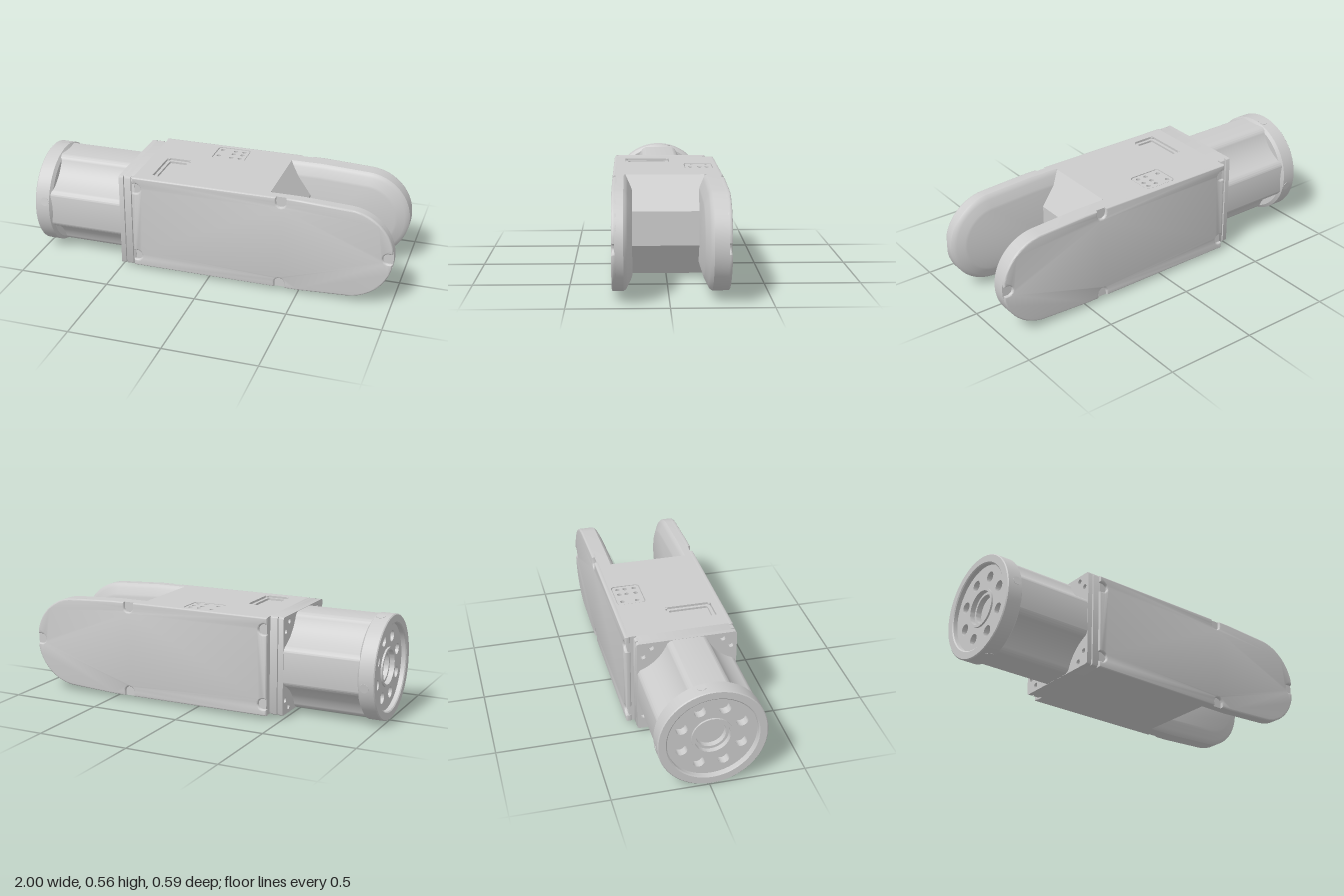
import * as THREE from 'three';
import { toCreasedNormals } from 'three/addons/utils/BufferGeometryUtils.js';

const CY = 0.282, H = 0.263, TOP = CY + H, BOTTOM = CY - H, CZ = 0.013;
const material = new THREE.MeshStandardMaterial({ color: 0xcccccc });

export function createModel() {
  const root = new THREE.Group();
  const add = (name, geo, x = 0, y = 0, z = 0) => {
    const m = new THREE.Mesh(toCreasedNormals(geo, 0.6), material);
    m.name = name;
    m.position.set(x, y, z);
    root.add(m);
    return m;
  };
  const extrude = (shape, depth, bevel = 0) => {
    const g = new THREE.ExtrudeGeometry(shape, {
      depth: depth - 2 * bevel, curveSegments: 20, bevelEnabled: bevel > 0,
      bevelSize: bevel, bevelThickness: bevel, bevelOffset: -bevel, bevelSegments: 3,
    });
    return g.translate(0, 0, bevel);
  };
  const alongX = (shape, depth, bevel) => extrude(shape, depth, bevel).rotateY(Math.PI / 2);
  const upward = (shape, depth) => extrude(shape, depth).rotateX(-Math.PI / 2);
  const circle = (x, y, r) => new THREE.Path().absarc(x, y, r, 0, Math.PI * 2, true);
  const roundRect = (x0, y0, x1, y1, r, Kind = THREE.Shape) => {
    const s = new Kind();
    s.absarc(x1 - r, y0 + r, r, -Math.PI / 2, 0);
    s.absarc(x1 - r, y1 - r, r, 0, Math.PI / 2);
    s.absarc(x0 + r, y1 - r, r, Math.PI / 2, Math.PI);
    s.absarc(x0 + r, y0 + r, r, Math.PI, Math.PI * 1.5);
    s.closePath();
    return s;
  };

  // Central body with a nose sloping into the fork
  add('body', new THREE.BoxGeometry(0.75, 0.505, 0.544), -0.045, BOTTOM + 0.2525, -0.008);
  const nose = new THREE.Shape([[0.3, BOTTOM], [0.33, BOTTOM], [0.45, 0.19], [0.45, 0.37], [0.33, TOP], [0.3, TOP]]
    .map(p => new THREE.Vector2(...p)));
  add('forkNose', extrude(nose, 0.41), 0, 0, -0.2);

  // Top plate with openings for the window and the connector pad
  const plate = new THREE.Shape([[-0.42, -0.264], [0.33, -0.264], [0.33, 0.28], [-0.42, 0.28]]
    .map(p => new THREE.Vector2(...p)));
  plate.holes.push(roundRect(-0.33, -0.22, -0.19, 0.03, 0.012, THREE.Path));
  plate.holes.push(roundRect(-0.105, 0.108, 0.082, 0.262, 0.02, THREE.Path));
  add('topPlate', upward(plate, 0.022), 0, TOP - 0.022, 0);
  const frame = roundRect(-0.327, -0.217, -0.193, 0.027, 0.01);
  frame.holes.push(roundRect(-0.31, -0.2, -0.21, 0.01, 0.01, THREE.Path));
  add('windowFrame', upward(frame, 0.012), 0, TOP - 0.022, 0);
  for (const x of [-0.325, -0.195]) for (const z of [-0.025, 0.215])
    add('windowScrew', new THREE.CylinderGeometry(0.009, 0.009, 0.02, 16), x, TOP - 0.011, z);
  const pad = roundRect(-0.101, 0.112, 0.078, 0.258, 0.018);
  for (const [x, z] of [[-0.075, 0.23], [-0.075, 0.15], [0, 0.23], [0, 0.19], [0, 0.14], [0.05, 0.23], [0.05, 0.19], [0.05, 0.14]])
    pad.holes.push(circle(x, z, 0.012));
  add('connectorPad', upward(pad, 0.02), 0, TOP - 0.022, 0);

  // Fork outline from x0 to the rounded tip, shrunk by d, counterclockwise
  const tipAngle = 1.5, tipR = 0.25;
  const outline = (x0, d) => {
    const pts = [[x0, -H + d], [0.5, -H + d]];
    for (let i = 0; i <= 40; i++) {
      const a = -tipAngle + (2 * tipAngle * i) / 40;
      pts.push([0.75 + (tipR - d) * Math.cos(a), (tipR - d) * Math.sin(a)]);
    }
    pts.push([0.5, H - d], [x0, H - d]);
    return pts.map(([x, y]) => [x, y + CY]);
  };
  // Stack of outlines at rising z with flat caps
  const loft = layers => {
    const pos = [], idx = [], n = outline(0, 0).length;
    for (const [z, d] of layers) for (const [x, y] of outline(0.3, d)) pos.push(x, y, z);
    for (let k = 0; k < layers.length - 1; k++) for (let i = 0; i < n; i++) {
      const a = k * n + i, b = k * n + (i + 1) % n;
      idx.push(a, b, b + n, a, b + n, a + n);
    }
    const last = (layers.length - 1) * n;
    for (let i = 1; i < n - 1; i++) idx.push(0, i + 1, i, last, last + i, last + i + 1);
    const g = new THREE.BufferGeometry();
    g.setAttribute('position', new THREE.Float32BufferAttribute(pos, 3));
    g.setIndex(idx);
    g.computeVertexNormals();
    return g;
  };
  const inner = [[0.18, 0.075], [0.184, 0.062], [0.202, 0.024], [0.209, 0.01], [0.222, 0], [0.264, 0]];
  add('frontForkArm', loft(inner));
  const rear = inner.map(([z, d]) => [CZ - z, d]).reverse();
  rear[0][0] = -0.28;
  add('rearForkArm', loft(rear));

  // Side covers with U-shaped screw notches around the edge
  const cover = new THREE.Shape();
  const pts = outline(-0.425, 0), mid = pts.length / 2;
  const line = (x, y) => cover.lineTo(x, y);
  const notch = (x, y, angle, depth = 0.026, r = 0.028) => {
    // angle is the direction pointing into the cover
    const c = Math.cos(angle), s = Math.sin(angle);
    line(x + s * r, y - c * r);
    for (let i = 0; i <= 12; i++) {
      const t = -Math.PI / 2 + (Math.PI * i) / 12;
      const u = depth + r * Math.cos(t), v = r * Math.sin(t);
      line(x + c * u - s * v, y + s * u + c * v);
    }
    line(x - s * r, y + c * r);
  };
  const notchCW = (x, y, angle, depth, r = 0.028) => {
    const c = Math.cos(angle), s = Math.sin(angle);
    for (let i = 0; i <= 12; i++) {
      const t = Math.PI / 2 - (Math.PI * i) / 12;
      const u = depth + r * Math.cos(t), v = r * Math.sin(t);
      if (i === 0) line(x - s * r, y + c * r);
      line(x + c * u - s * v, y + s * u + c * v);
    }
    line(x + s * r, y - c * r);
  };
  cover.moveTo(...pts[0]);
  notchCW(0.4, BOTTOM, Math.PI / 2, 0.026);
  for (let i = 1; i < pts.length - 1; i++) {
    if (Math.abs(i - mid + 0.5) < 2.6) {
      if (i === Math.floor(mid)) notchCW(0.995, CY, Math.PI, 0.022);
      continue;
    }
    line(...pts[i]);
  }
  notchCW(0.4, TOP, -Math.PI / 2, 0.026);
  line(...pts[pts.length - 1]);
  notchCW(-0.425, CY + 0.2, 0, 0.02);
  notchCW(-0.425, CY - 0.2, 0, 0.02);
  add('frontCover', extrude(cover, 0.03, 0.008), 0, 0, 0.25);
  add('rearCover', extrude(cover, 0.03, 0.008), 0, 0, -0.295);

  // Grooved mounting flange with paired corner holes
  const flange = (x, depth, grow, holes) => {
    const s = roundRect(-0.273 - grow, -H, 0.248 + grow, H, 0.012);
    if (holes) for (const a of [-1, 1]) for (const b of [-1, 1]) {
      s.holes.push(circle(a * 0.232 - CZ, b * 0.185, 0.014), circle(a * 0.188 - CZ, b * 0.232, 0.014));
    }
    add('mountingFlange', alongX(s, depth), x, CY, 0);
  };
  flange(-0.5, 0.026, 0.004, true);
  flange(-0.476, 0.06, -0.008, false);
  flange(-0.466, 0.034, 0.004, false);

  // Neck: square section with concave, softly joined corners
  const neck = new THREE.Shape();
  for (let k = 0; k < 4; k++) {
    const P = (x, y) => {
      const c = Math.round(Math.cos(k * Math.PI / 2)), s = Math.round(Math.sin(k * Math.PI / 2));
      return [x * c - y * s, x * s + y * c];
    };
    if (k === 0) neck.moveTo(...P(0.262, -0.07));
    neck.lineTo(...P(0.262, 0.07));
    neck.quadraticCurveTo(...P(0.262, 0.09), ...P(0.245, 0.105));
    neck.quadraticCurveTo(...P(0.145, 0.145), ...P(0.105, 0.245));
    neck.quadraticCurveTo(...P(0.09, 0.262), ...P(0.07, 0.262));
  }
  add('neck', alongX(neck, 0.43), -0.92, CY, CZ);

  // Round end collar, drilled face and centre ring
  const lathe = profile => new THREE.LatheGeometry(profile.map(p => new THREE.Vector2(...p)), 72).rotateZ(Math.PI / 2);
  add('endCollar', lathe([[0, 0.905], [0.262, 0.905], [0.28, 0.918], [0.28, 0.995], [0.275, 1],
    [0.238, 1], [0.232, 0.995], [0.232, 0.925], [0, 0.925]]), 0, 0.28, CZ);
  const face = new THREE.Shape().absarc(0, 0, 0.233, 0, Math.PI * 2);
  face.holes.push(circle(0, 0, 0.1));
  for (let i = 0; i < 8; i++) {
    const a = (i + 0.5) * Math.PI / 4;
    face.holes.push(circle(0.165 * Math.cos(a), 0.165 * Math.sin(a), 0.03));
  }
  add('drilledFace', alongX(face, 0.045), -0.972, 0.28, CZ);
  add('centreRing', lathe([[0.105, 0.925], [0.105, 0.982], [0.092, 0.982], [0.092, 0.955], [0.078, 0.955], [0.078, 0.925]]), 0, 0.28, CZ);

  // Radial screws around the collar
  for (let i = 0; i < 4; i++) {
    const a = i * Math.PI / 2 + 0.18;
    const screw = add('collarScrew', new THREE.CylinderGeometry(0.024, 0.024, 0.02, 20), -0.945,
      0.28 + 0.271 * Math.cos(a), CZ - 0.271 * Math.sin(a));
    screw.rotation.x = -a;
  }
  return root;
}
